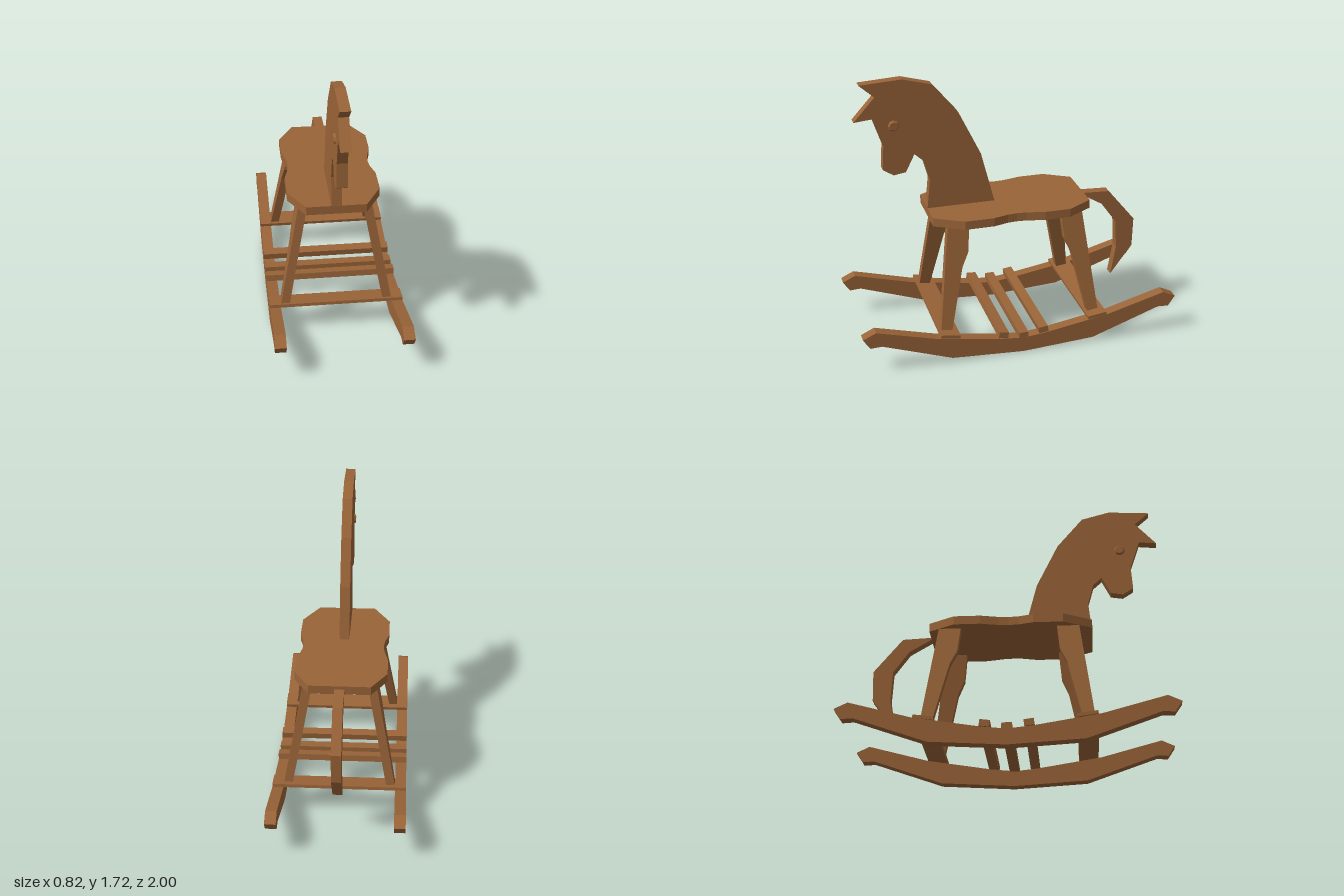
import * as THREE from 'three';

const wood = new THREE.MeshStandardMaterial({ color: 0x9a6438, flatShading: true });
wood.name = 'brown wood';

// Board cut from a (z, y) side profile, centred on x = 0
function sideBoard(points, width) {
  const shape = new THREE.Shape(points.map(([z, y]) => new THREE.Vector2(z, y)));
  const geo = new THREE.ExtrudeGeometry(shape, { depth: width, bevelEnabled: false });
  geo.translate(0, 0, -width / 2);
  geo.rotateY(-Math.PI / 2);
  return geo;
}

export function createModel() {
  const model = new THREE.Group();
  model.name = 'rockingHorse';
  const add = (name, geo, x = 0, y = 0, z = 0) => {
    const mesh = new THREE.Mesh(geo, wood);
    mesh.name = name;
    mesh.position.set(x, y, z);
    model.add(mesh);
    return mesh;
  };

  // Head and neck with forelock and ear points
  add('headAndNeck', sideBoard([
    [0.89, 1.7], [0.635, 1.715], [0.46, 1.668], [0.3, 1.476], [0.165, 1.198], [0.08, 0.87],
    [0.505, 0.87], [0.485, 1.064], [0.52, 1.19], [0.575, 1.24], [0.63, 1.13], [0.705, 1.118],
    [0.77, 1.16], [0.76, 1.31], [0.82, 1.487], [0.93, 1.476], [0.8, 1.62],
  ], 0.062));

  // Eyes: short tapered pegs on both sides of the head
  for (const s of [-1, 1]) {
    const eye = new THREE.CylinderGeometry(0.026, 0.037, 0.015, 8);
    eye.rotateZ(-s * Math.PI / 2);
    add(s > 0 ? 'leftEye' : 'rightEye', eye, s * 0.036, 1.433, 0.694);
  }

  // Seat with a narrow waist
  const half = [
    [0.18, 0.505], [0.28, 0.33], [0.28, 0.15], [0.255, 0.06], [0.25, 0],
    [0.255, -0.06], [0.28, -0.17], [0.28, -0.33], [0.186, -0.488],
  ];
  const outline = [...half, ...half.slice().reverse().map(([x, z]) => [-x, z])];
  const seat = new THREE.ExtrudeGeometry(
    new THREE.Shape(outline.map(([x, z]) => new THREE.Vector2(x, z))),
    { depth: 0.054, bevelEnabled: false });
  seat.rotateX(Math.PI / 2);
  add('seat', seat, 0, 0.876, 0);

  // Curved tail
  add('tail', sideBoard([
    [-0.47, 0.855], [-0.673, 0.845], [-0.85, 0.63], [-0.845, 0.44],
    [-0.705, 0.25], [-0.737, 0.44], [-0.727, 0.626], [-0.63, 0.76],
  ], 0.06));

  // Legs splay outwards towards the rockers
  const legProfile = [
    [0.426, 0.825], [0.292, 0.825], [0.308, 0.658], [0.35, 0.567], [0.437, 0.18], [0.507, 0.18],
  ];
  for (const f of [1, -1]) for (const s of [1, -1]) {
    const leg = sideBoard(legProfile.map(([z, y]) => [f * z, y]), 0.053);
    const p = leg.attributes.position;
    for (let i = 0; i < p.count; i++) {
      p.setX(i, p.getX(i) + s * (0.197 + (0.82 - p.getY(i)) * 0.184));
    }
    leg.computeVertexNormals();
    add((f > 0 ? 'front' : 'rear') + (s > 0 ? 'Left' : 'Right') + 'Leg', leg);
  }

  // Rockers
  const top = [[0.957, 0.176], [1, 0.24], [0.92, 0.278], [0.545, 0.176], [0.15, 0.112]];
  const bottom = [[0.453, 0.027], [0.887, 0.18]];
  const mirror = (pts) => pts.slice().reverse().map(([z, y]) => [-z, y]);
  const rocker = [[0, 0], ...bottom, ...top, [0, 0.096], ...mirror(top), ...mirror(bottom)];
  for (const s of [1, -1]) {
    add(s > 0 ? 'leftRocker' : 'rightRocker', sideBoard(rocker, 0.068), s * 0.376);
  }

  // Cross boards under the feet, tilted with the rockers
  for (const f of [1, -1]) {
    const board = add(f > 0 ? 'frontCrossBoard' : 'rearCrossBoard',
      new THREE.BoxGeometry(0.82, 0.02, 0.122), 0, 0.177, f > 0 ? 0.463 : -0.481);
    board.rotation.x = -f * 0.14;
  }

  // Three footrest slats
  for (const i of [-1, 0, 1]) {
    const slat = add('footSlat', new THREE.BoxGeometry(0.82, 0.04, 0.06),
      0, i ? 0.134 : 0.114, i * 0.128);
    slat.rotation.x = -i * 0.13;
  }
  return model;
}
